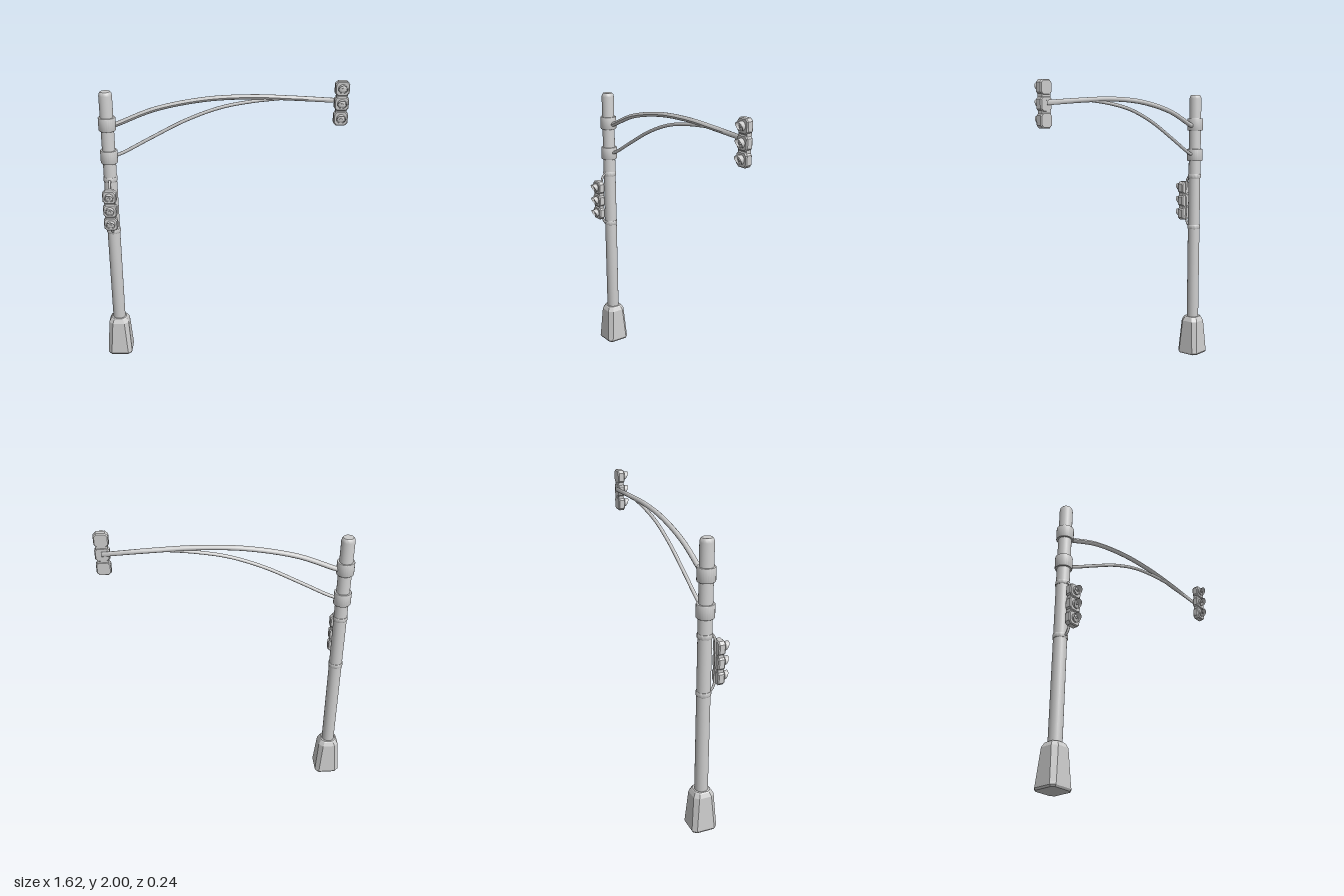
import * as THREE from 'three';
import { toCreasedNormals } from 'three/addons/utils/BufferGeometryUtils.js';

const PX = -0.724, PZ = -0.034;
const grey = new THREE.MeshStandardMaterial({ color: 0xcccccc });
const greyFlat = new THREE.MeshStandardMaterial({ color: 0xcccccc, flatShading: true });
const greyThin = new THREE.MeshStandardMaterial({ color: 0xcccccc, side: THREE.DoubleSide });

function add(parent, name, geometry, x = 0, y = 0, z = 0, material = grey) {
  const mesh = new THREE.Mesh(geometry, material);
  mesh.name = name;
  mesh.position.set(x, y, z);
  parent.add(mesh);
}

function lathe(points) {
  const pts = points.map(([r, y]) => new THREE.Vector2(r, y));
  return toCreasedNormals(new THREE.LatheGeometry(pts, 24), 0.6);
}

// Rectangle with cut corners, w by h, centred
function chamferedRing(w, h, c) {
  const x = w / 2, y = h / 2;
  return [[x, -y + c], [x, y - c], [x - c, y], [-x + c, y],
    [-x, y - c], [-x, -y + c], [-x + c, -y], [x - c, -y]];
}

// Tapering solid from stacked chamfered squares: [y, width, chamfer]
function pedestal(levels) {
  const pos = [], idx = [];
  levels.forEach(([y, w, c]) => chamferedRing(w, w, c).forEach(([x, z]) => pos.push(x, y, -z)));
  for (let l = 0; l < levels.length - 1; l++) {
    for (let i = 0; i < 8; i++) {
      const a = l * 8 + i, b = l * 8 + (i + 1) % 8;
      idx.push(a, b, b + 8, a, b + 8, a + 8);
    }
  }
  const top = (levels.length - 1) * 8;
  for (let i = 1; i < 7; i++) idx.push(0, i + 1, i, top, top + i, top + i + 1);
  const g = new THREE.BufferGeometry();
  g.setAttribute('position', new THREE.Float32BufferAttribute(pos, 3));
  g.setIndex(idx);
  g.computeVertexNormals();
  return g;
}

// Rod along a smooth path; flattened in z toward +x when flattenFrom is given
function rod(parent, name, points, radius, flattenFrom) {
  const curve = new THREE.CatmullRomCurve3(points.map(p => new THREE.Vector3(...p)));
  const g = new THREE.TubeGeometry(curve, 40, radius, 10);
  if (flattenFrom !== undefined) {
    const p = g.attributes.position;
    const zEnd = points[points.length - 1][2];
    for (let i = 0; i < p.count; i++) {
      const t = THREE.MathUtils.clamp((p.getX(i) - flattenFrom) / (0.76 - flattenFrom), 0, 1);
      p.setZ(i, zEnd + (p.getZ(i) - zEnd) * (1 - 0.7 * t));
    }
    g.computeVertexNormals();
  }
  add(parent, name, g, 0, 0, 0, greyThin);
}

// Hood: open tube whose front edge slopes back from top to bottom
function hoodGeometry(radius, depth) {
  const g = new THREE.CylinderGeometry(radius, radius, 1, 24, 4, true);
  g.rotateX(Math.PI / 2);
  const p = g.attributes.position;
  for (let i = 0; i < p.count; i++) {
    const up = THREE.MathUtils.clamp((p.getY(i) / radius + 1) / 2, 0, 1);
    const reach = 0.005 + (depth - 0.005) * Math.pow(up, 0.65);
    p.setZ(i, (p.getZ(i) + 0.5) * reach);
  }
  g.computeVertexNormals();
  return g;
}

// Three-lamp signal head, back face at z = 0
function signalHead(name) {
  const head = new THREE.Group();
  head.name = name;
  const shape = new THREE.Shape(chamferedRing(0.078, 0.08, 0.014).map(p => new THREE.Vector2(...p)));
  const section = new THREE.ExtrudeGeometry(shape, {
    depth: 0.032, bevelEnabled: true, bevelThickness: 0.007, bevelSize: 0.006, bevelSegments: 1,
  });
  const hood = hoodGeometry(0.028, 0.038);
  const lens = lathe([[0.027, 0], [0.024, 0.006], [0.016, 0.01], [0.008, 0.012], [0.007, 0.018], [0, 0.02]]);
  lens.rotateX(Math.PI / 2);
  add(head, 'housingSpine', new THREE.BoxGeometry(0.07, 0.26, 0.036), 0, 0, 0.021, greyFlat);
  for (const y of [0.096, 0, -0.096]) {
    add(head, 'lampHousing', section, 0, y, 0.007, greyFlat);
    add(head, 'lampHood', hood, 0, y, 0.044, greyThin);
    add(head, 'lampLens', lens, 0, y, 0.044);
  }
  return head;
}

export function createModel() {
  const model = new THREE.Group();
  model.name = 'trafficSignalPole';

  // Base and pole
  add(model, 'base', pedestal([[0, 0.156, 0.02], [0.012, 0.17, 0.024], [0.03, 0.168, 0.026],
    [0.25, 0.138, 0.028], [0.275, 0.112, 0.024], [0.282, 0.1, 0.022]]), PX, 0, PZ, greyFlat);
  add(model, 'pole', lathe([[0, 0.27], [0.043, 0.27], [0.043, 1.9], [0.04, 1.915], [0.032, 1.925], [0, 1.925]]), PX, 0, PZ);

  // Arm clamps and thin bracket bands
  const collar = (r, h) => lathe([[0.04, -h / 2], [r - 0.002, -h / 2], [r, -h / 2 + 0.003],
    [r, h / 2 - 0.003], [r - 0.002, h / 2], [0.04, h / 2]]);
  for (const y of [1.715, 1.495]) add(model, 'armClamp', collar(0.056, 0.086), PX, y, PZ);
  for (const y of [1.34, 0.965]) add(model, 'bracketBand', collar(0.047, 0.03), PX, y, PZ);

  // Curved mast arm and its brace
  const az = -0.038;
  rod(model, 'mastArm', [[-0.72, 1.693, az], [-0.66, 1.712, az], [-0.42, 1.808, az], [-0.1, 1.873, az],
    [0.2, 1.89, az], [0.45, 1.882, az], [0.765, 1.865, az]], 0.016, 0.48);
  rod(model, 'armBrace', [[-0.72, 1.488, az], [-0.65, 1.51, az], [-0.45, 1.617, az], [-0.22, 1.737, az],
    [0, 1.82, az], [0.2, 1.86, az], [0.4, 1.882, az]], 0.011);

  // Bracket holding the lower signal off the pole
  rod(model, 'signalBracket', [[PX, 1.34, 0.002], [PX, 1.332, 0.018], [PX, 1.3, 0.034], [PX, 1.25, 0.039],
    [PX, 1.05, 0.039], [PX, 1.005, 0.034], [PX, 0.973, 0.018], [PX, 0.965, 0.002]], 0.008);

  // Signal heads
  const lower = signalHead('poleSignal');
  lower.position.set(PX, 1.153, 0.039);
  const upper = signalHead('armSignal');
  upper.position.set(0.761, 1.858, -0.034);
  model.add(lower, upper);
  return model;
}
